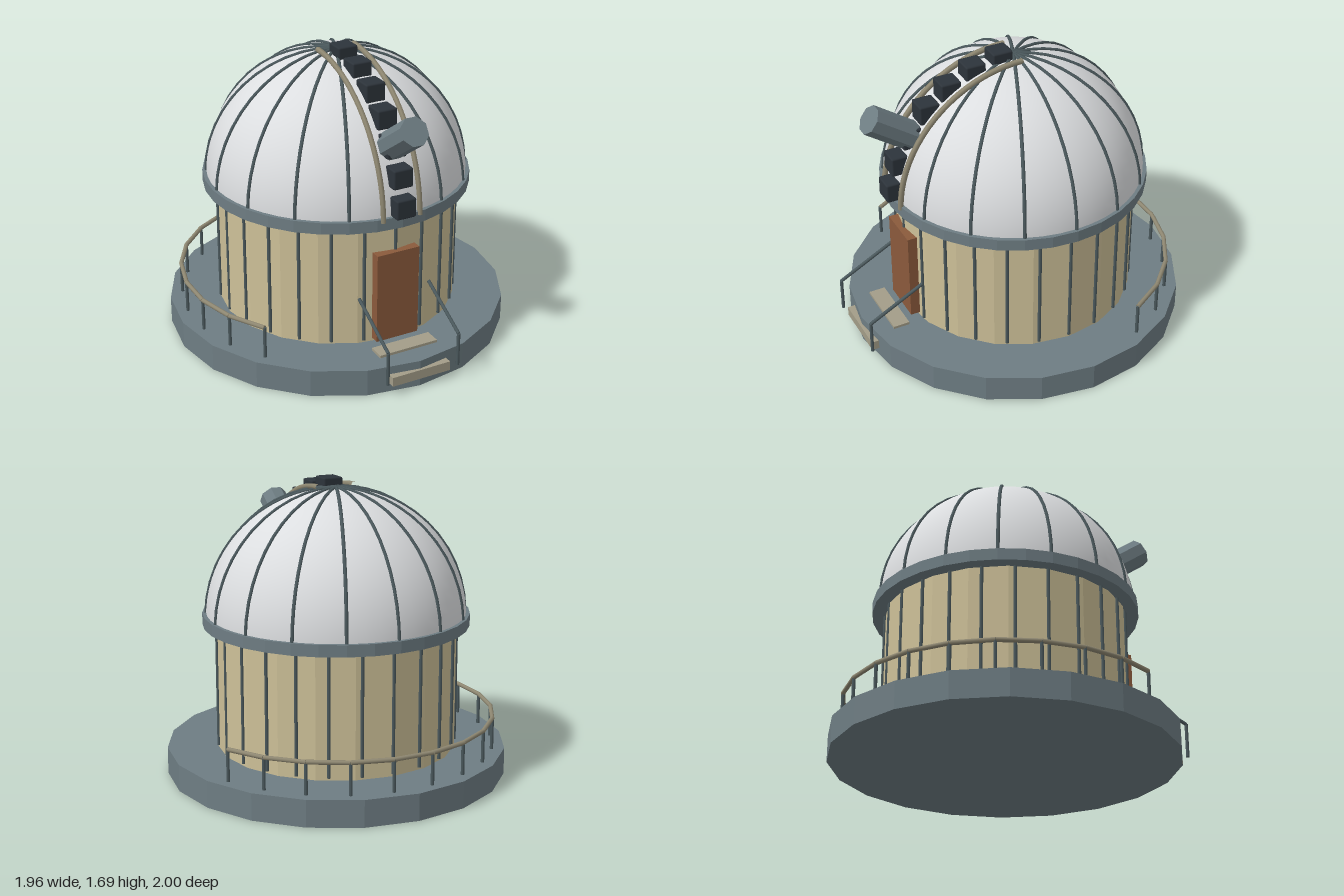
import * as THREE from 'three';
import { RoundedBoxGeometry } from 'three/addons/geometries/RoundedBoxGeometry.js';

const CZ = -0.02;     // z of the building axis
const DOME_Y = 0.9;   // height of the dome's centre
const DOME_R = 0.742;

const mat = (name, color) => {
  const m = new THREE.MeshStandardMaterial({ color });
  m.name = name;
  return m;
};

const flat = (geometry) => {
  const g = geometry.toNonIndexed();
  g.computeVertexNormals();
  return g;
};

export function createModel() {
  const slate = mat('slate', 0x6e7d83);
  const darkMetal = mat('darkMetal', 0x4b595d);
  const plaster = mat('plaster', 0xcdc098);
  const domeWhite = mat('domeWhite', 0xdcdee0);
  const railTan = mat('railTan', 0x8f8872);
  const stone = mat('stone', 0xa39d88);
  const wood = mat('wood', 0x8b5a3c);
  const charcoal = mat('charcoal', 0x2d343b);

  const model = new THREE.Group();
  model.name = 'observatory';

  const add = (name, geometry, material, x = 0, y = 0, z = 0) => {
    const m = new THREE.Mesh(geometry, material);
    m.name = name;
    m.position.set(x, y, z);
    model.add(m);
    return m;
  };

  // Straight rod between two points
  const rod = (name, a, b, r, material) => {
    const d = new THREE.Vector3().subVectors(b, a);
    const m = add(name, new THREE.CylinderGeometry(r, r, d.length(), 8), material);
    m.position.copy(a).addScaledVector(d, 0.5);
    m.quaternion.setFromUnitVectors(new THREE.Vector3(0, 1, 0), d.normalize());
    return m;
  };

  // Meridian arc from the dome's rim to its top, in the +z half plane
  const meridian = (radius, start, segments) => {
    const pts = [];
    for (let i = 0; i <= segments; i++) {
      const a = start + (Math.PI / 2 - start) * (i / segments);
      pts.push(new THREE.Vector3(0, radius * Math.sin(a), radius * Math.cos(a)));
    }
    return new THREE.CatmullRomCurve3(pts);
  };

  const polar = (radius, angle, y) =>
    new THREE.Vector3(radius * Math.cos(angle), y, CZ + radius * Math.sin(angle));

  // Base, drum and ring
  add('base', flat(new THREE.CylinderGeometry(0.98, 0.98, 0.155, 20)), slate, 0, 0.0775, CZ);
  add('drumWall', flat(new THREE.CylinderGeometry(0.69, 0.69, 0.735, 20)), plaster, 0, 0.5125, CZ);
  add('domeRing', flat(new THREE.CylinderGeometry(0.763, 0.763, 0.067, 32)), slate, 0, 0.9015, CZ);

  // Upright battens around the drum
  for (let i = 0; i < 24; i++) {
    const a = (i / 24) * Math.PI * 2;
    rod('wallBatten', polar(0.688, a, 0.17), polar(0.688, a, 0.87), 0.01, darkMetal);
  }

  // Dome
  add('dome', new THREE.SphereGeometry(DOME_R, 48, 20, 0, Math.PI * 2, 0, Math.PI / 2),
    domeWhite, 0, DOME_Y, CZ);

  // Dome ribs, leaving the front free for the slit
  const ribGeometry = new THREE.TubeGeometry(meridian(DOME_R + 0.002, 0.03, 10), 12, 0.01, 6);
  for (let i = 1; i < 16; i++) {
    add('domeRib', ribGeometry, darkMetal, 0, DOME_Y, CZ).rotation.y = (i / 16) * Math.PI * 2;
  }

  // Two rails beside the slit
  const slitGeometry = new THREE.TubeGeometry(meridian(0.75, 0.02, 14), 20, 0.016, 6);
  for (const s of [-1, 1]) add('slitRail', slitGeometry, railTan, s * 0.112, DOME_Y, CZ);

  // Row of shutter blocks up the slit
  const block = new RoundedBoxGeometry(0.118, 0.112, 0.118, 1, 0.01);
  for (let i = 0; i < 7; i++) {
    const a = THREE.MathUtils.degToRad(7 + i * 12.7);
    add('shutterBlock', block, charcoal, 0,
      DOME_Y + 0.742 * Math.sin(a), CZ + 0.75 * Math.cos(a));
  }

  // Telescope tube, tilted up and out of the slit
  const tilt = THREE.MathUtils.degToRad(35);
  const length = 0.46;
  const tube = flat(new THREE.CylinderGeometry(0.083, 0.083, length, 8).rotateY(Math.PI / 8));
  add('telescope', tube, slate, 0,
    1.458 - Math.sin(tilt) * length / 2, 0.84 - Math.cos(tilt) * length / 2)
    .rotation.x = Math.PI / 2 - tilt;

  // Door and steps
  add('door', new THREE.BoxGeometry(0.26, 0.53, 0.07), wood, 0, 0.44, 0.67);
  add('lowerStep', new THREE.BoxGeometry(0.36, 0.055, 0.1), stone, 0, 0.08, 0.925);
  add('upperStep', new THREE.BoxGeometry(0.36, 0.05, 0.095), stone, 0, 0.145, 0.787);

  // Handrails at the steps
  for (const s of [-1, 1]) {
    const foot = new THREE.Vector3(s * 0.22, 0.085, 0.988);
    const knee = new THREE.Vector3(s * 0.22, 0.28, 0.988);
    const top = new THREE.Vector3(s * 0.22, 0.45, 0.665);
    rod('handrailPost', foot, knee, 0.01, darkMetal);
    rod('handrail', knee, top, 0.01, darkMetal);
  }

  // Guardrail round the back of the terrace
  const gaps = 13;
  const from = THREE.MathUtils.degToRad(143);
  const to = THREE.MathUtils.degToRad(336.6);
  for (let i = 0; i <= gaps; i++) {
    const a = from + (to - from) * (i / gaps);
    const b = from + (to - from) * ((i + 1) / gaps);
    rod('guardrailPost', polar(0.908, a, 0.15), polar(0.908, a, 0.34), 0.01, darkMetal);
    if (i < gaps) rod('guardrail', polar(0.908, a, 0.338), polar(0.908, b, 0.338), 0.013, railTan);
  }

  return model;
}
